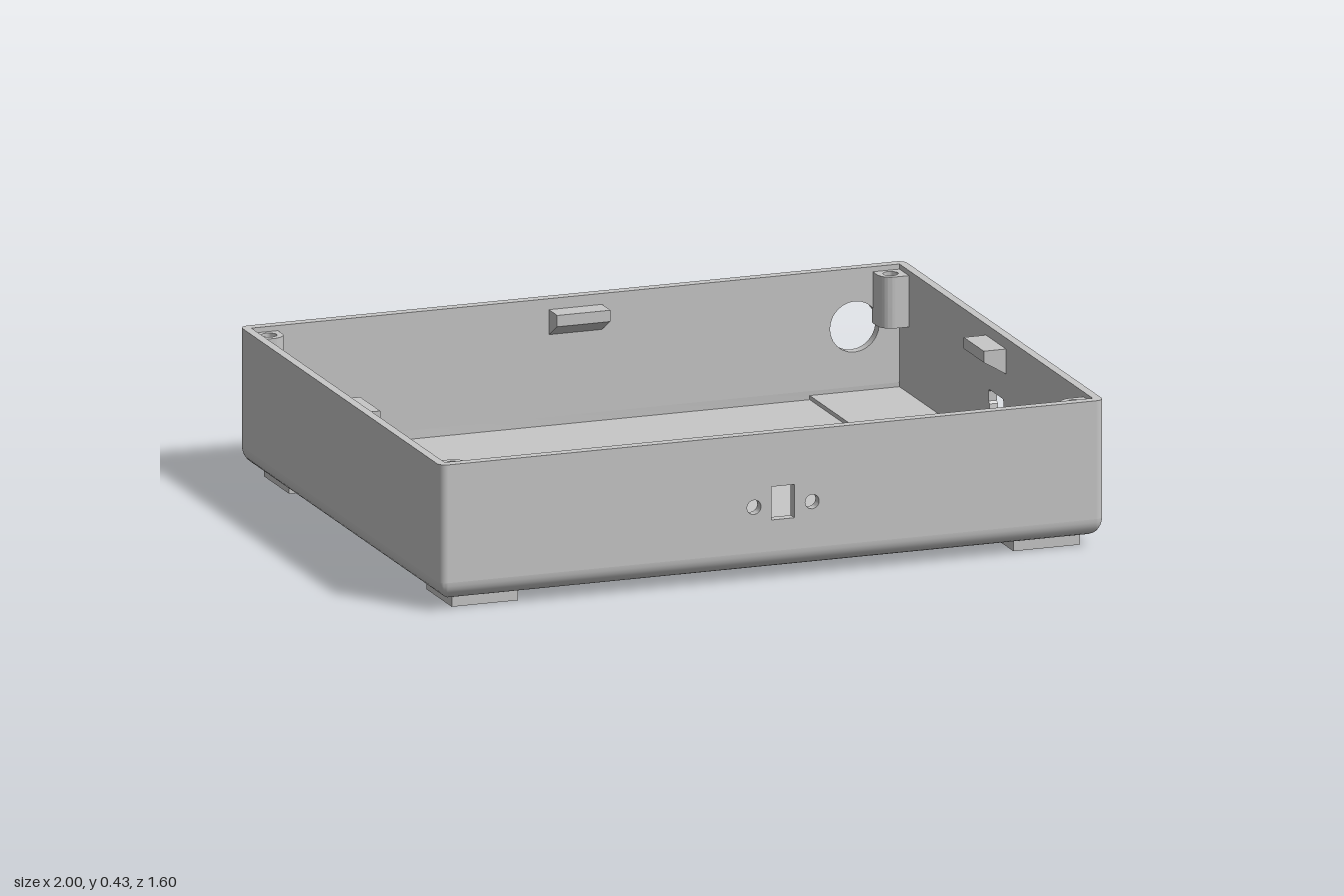
import * as THREE from 'three';
import { toCreasedNormals } from 'three/addons/utils/BufferGeometryUtils.js';

const TOP = 0.43, SEAM = 0.085, FLOOR = 0.06, BASE = 0.03;
const WALL_X = 0.025, WALL_Z = 0.03, CORNER = 0.025, FILLET = 0.055, HX = 1, HZ = 0.8;

function polygon(points, T = THREE.Shape) {
  return new T(points.map(([x, y]) => new THREE.Vector2(x, y)));
}
function rect(x0, y0, x1, y1, T) {
  return polygon([[x0, y0], [x1, y0], [x1, y1], [x0, y1]], T);
}
function circle(x, y, r) {
  const p = new THREE.Path();
  p.absarc(x, y, r, 0, Math.PI * 2);
  return p;
}
function extrude(shape, depth, holes = []) {
  shape.holes.push(...holes);
  const g = new THREE.ExtrudeGeometry(shape, { depth, bevelEnabled: false, curveSegments: 12 });
  return toCreasedNormals(g, 0.6);
}
// Horizontal slab drawn in plan; shape y becomes -z
function slab(shape, y, height, holes) {
  return extrude(shape, height, holes).rotateX(-Math.PI / 2).translate(0, y, 0);
}

// Outline of the case at one inset and height, starting in the +x +z corner
function ring(insetX, insetZ, y) {
  const r = Math.max(CORNER - insetX, 0.002), pts = [];
  [[1, 1], [-1, 1], [-1, -1], [1, -1]].forEach(([sx, sz], q) => {
    for (let i = 0; i <= 6; i++) {
      const a = (q + i / 6) * Math.PI / 2;
      pts.push([sx * (HX - insetX - r) + r * Math.cos(a), y, sz * (HZ - insetZ - r) + r * Math.sin(a)]);
    }
  });
  return pts;
}

// Rounded lower rim, lofted around the case from one closed profile
function rimGeometry() {
  const profile = [];
  for (let i = 0; i <= 8; i++) {
    const a = i / 8 * Math.PI / 2, inset = FILLET * (1 - Math.cos(a));
    profile.push([inset, inset, SEAM - FILLET * Math.sin(a)]);
  }
  profile.push([FILLET, FILLET, FLOOR], [WALL_X, WALL_Z, FLOOR], [WALL_X, WALL_Z, SEAM]);
  const rings = profile.map(p => ring(...p));
  const n = rings[0].length, index = [];
  for (let j = 0; j < rings.length - 1; j++) {
    for (let i = 0; i < n; i++) {
      const k = (i + 1) % n, a = j * n + i, b = j * n + k, c = a + n, d = b + n;
      index.push(a, b, c, b, d, c);
    }
  }
  const g = new THREE.BufferGeometry();
  g.setAttribute('position', new THREE.Float32BufferAttribute(rings.flat(2), 3));
  g.setIndex(index);
  return toCreasedNormals(g, 0.6);
}

export function createModel() {
  const model = new THREE.Group();
  model.name = 'enclosure';
  const grey = new THREE.MeshStandardMaterial({ color: 0xc7c7c7, side: THREE.DoubleSide });
  grey.name = 'light grey plastic';
  const add = (name, geometry, x = 0, y = 0, z = 0, turn = 0) => {
    const m = new THREE.Mesh(geometry, grey);
    m.name = name;
    m.position.set(x, y, z);
    m.rotation.y = turn;
    model.add(m);
  };

  // Walls with their openings
  const wall = (half, depth, holes) => extrude(rect(-half, SEAM, half, TOP), depth, holes);
  const wx = HX - WALL_X, wz = HZ - WALL_Z, cx = HX - CORNER, cz = HZ - CORNER;
  add('frontWall', wall(cx, WALL_Z, [
    rect(-0.002, 0.176, 0.066, 0.273, THREE.Path), circle(-0.055, 0.218, 0.021), circle(0.12, 0.218, 0.021),
  ]), 0, 0, wz);
  add('backWall', wall(cx, WALL_Z, [circle(-0.84, 0.26, 0.074)]), 0, 0, -wz, Math.PI);
  add('portWall', wall(cz, WALL_X, [polygon([
    [-0.043, 0.184], [0.043, 0.184], [0.05, 0.19], [0.052, 0.204], [0.059, 0.211], [0.059, 0.24], [0.053, 0.246],
    [-0.053, 0.246], [-0.059, 0.24], [-0.059, 0.211], [-0.052, 0.204], [-0.05, 0.19],
  ], THREE.Path)]), wx, 0, 0, Math.PI / 2);
  add('plainWall', wall(cz, WALL_X), -wx, 0, 0, -Math.PI / 2);

  // Rim and floor, with four small vents
  add('lowerRim', rimGeometry());
  const fx = HX - FILLET, fz = HZ - FILLET, flare = FLOOR - BASE, holeRadius = 0.033;
  const vents = [[0.05, 0], [-0.05, 0], [0, 0.05], [0, -0.05]].map(([x, y]) => circle(x, y, 0.022));
  add('floor', slab(rect(-fx, -fz, fx, fz), BASE, flare, [circle(-0.4, 0, holeRadius + flare), ...vents]));

  // Cable hole, flaring smoothly into the underside
  const lip = [new THREE.Vector2(holeRadius + flare, FLOOR)];
  for (let i = 0; i <= 6; i++) {
    const a = i / 6 * Math.PI / 2;
    lip.push(new THREE.Vector2(holeRadius + flare * (1 - Math.cos(a)), FLOOR - flare * Math.sin(a)));
  }
  add('flaredHole', toCreasedNormals(new THREE.LatheGeometry(lip, 24), 0.6), -0.4, 0, 0);

  // Corner columns, screw posts and feet
  const post = new THREE.Shape();
  post.moveTo(0, 0);
  post.lineTo(0.08, 0);
  post.lineTo(0.08, 0.04);
  post.absarc(0.04, 0.04, 0.04, 0, Math.PI / 2);
  post.lineTo(0, 0.08);
  const postGeometry = slab(post, 0.265, 0.15, [circle(0.04, 0.04, 0.022)]);
  [[1, 1], [1, -1], [-1, -1], [-1, 1]].forEach(([sx, sz], q) => {
    const h = TOP - SEAM;
    add('cornerColumn', new THREE.CylinderGeometry(CORNER, CORNER, h, 8, 1, false, q * Math.PI / 2, Math.PI / 2),
      sx * cx, SEAM + h / 2, sz * cz);
    add('screwPost', postGeometry, sx * cx, 0, sz * cz, Math.PI / 2 * (q + 1));
    add('foot', new THREE.BoxGeometry(0.2, BASE, 0.2), sx * 0.845, BASE / 2, sz * 0.648);
  });

  // Wedge-shaped lid catches, one at the middle of each wall
  const catchGeometry = extrude(polygon([[0, 0.325], [0.067, 0.365], [0.067, 0.398], [0, 0.398]]), 0.16)
    .translate(0, 0, -0.08);
  [[-wx, 0, 0], [0, wz, Math.PI / 2], [wx, 0, Math.PI], [0, -wz, -Math.PI / 2]].forEach(([x, z, turn]) =>
    add('lidCatch', catchGeometry, x, 0, z, turn));

  // Open tray for a circuit board, with two low support ledges
  add('trayWall', slab(rect(0.34, -0.153, wx, 0.153), FLOOR, 0.1, [rect(0.372, -0.12, 0.948, 0.12, THREE.Path)]));
  for (const s of [1, -1]) {
    add('trayLedge', new THREE.BoxGeometry(0.576, 0.02, 0.035), 0.66, FLOOR + 0.01, s * 0.1025);
  }

  // Low pad under the round opening
  add('connectorPad', new THREE.BoxGeometry(0.27, 0.012, 0.392), 0.84, FLOOR + 0.006, -0.574);
  return model;
}
